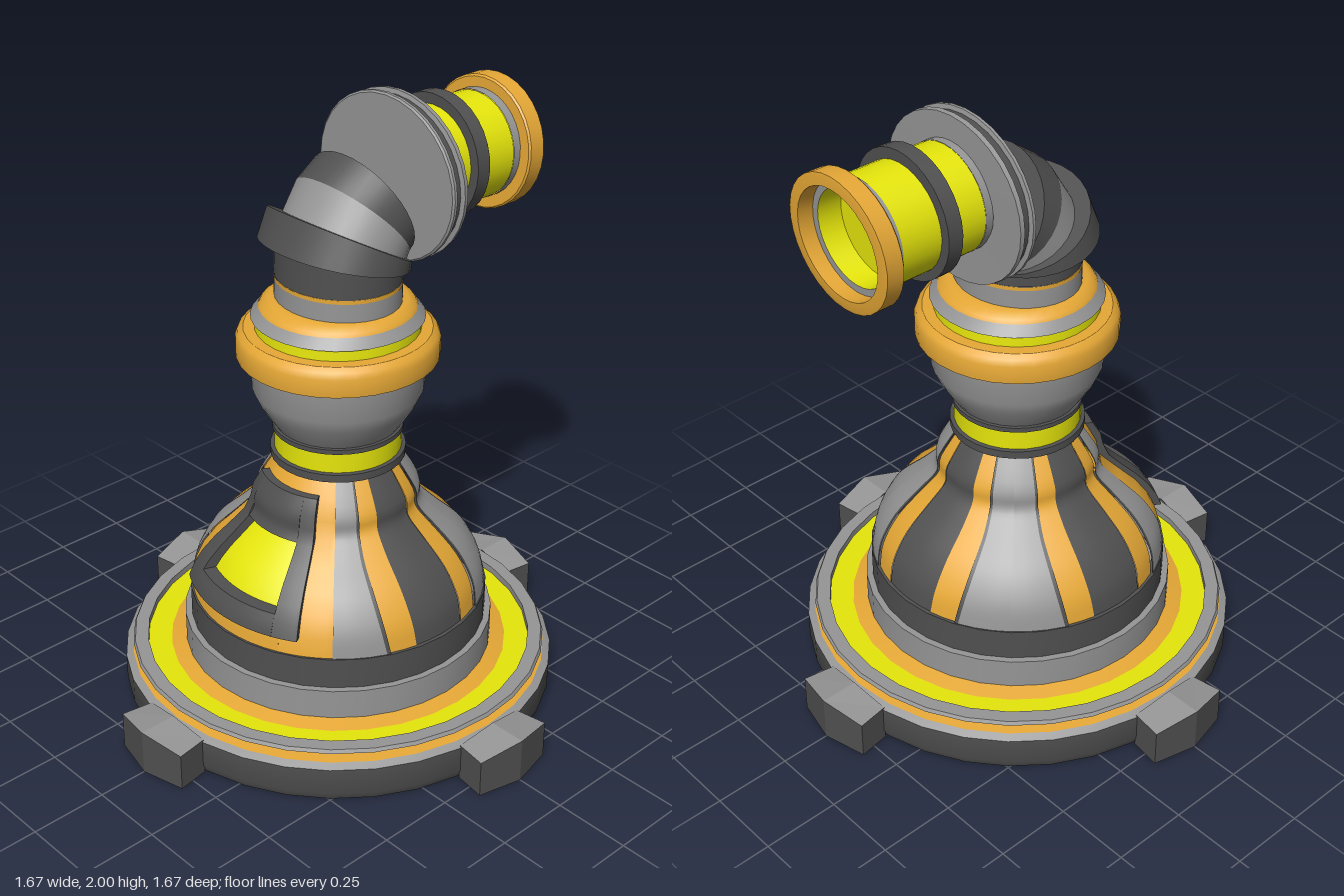
import * as THREE from 'three';
import { toCreasedNormals } from 'three/addons/utils/BufferGeometryUtils.js';

const mat = (name, color) => {
  const m = new THREE.MeshStandardMaterial({ color, side: THREE.DoubleSide });
  m.name = name;
  return m;
};

export function createModel() {
  const root = new THREE.Group();
  root.name = 'pipeTower';
  const gray = mat('gray', 0x969696), dark = mat('darkGray', 0x505050);
  const orange = mat('orange', 0xe6a836), yellow = mat('yellow', 0xe6e60c);
  const rad = THREE.MathUtils.degToRad;

  // Surface through rows of points
  function grid(name, material, rows, parent = root) {
    const n = rows[0].length, index = [];
    for (let i = 0; i < rows.length - 1; i++) {
      for (let j = 0; j < n - 1; j++) {
        const a = i * n + j, c = a + n;
        index.push(a, c, a + 1, a + 1, c, c + 1);
      }
    }
    let g = new THREE.BufferGeometry().setFromPoints(rows.flat());
    g.setIndex(index);
    g = toCreasedNormals(g.toNonIndexed(), 0.6);
    const mesh = new THREE.Mesh(g, material);
    mesh.name = name;
    parent.add(mesh);
    return mesh;
  }

  // Ellipse whose diameter runs from (x1,y1) to (x2,y2), w = half width in z
  function ring(x1, y1, x2, y2, w, zc = 0) {
    const row = [], seg = 32;
    for (let j = 0; j <= seg; j++) {
      const t = (j / seg) * Math.PI * 2, c = Math.cos(t);
      row.push(new THREE.Vector3((x1 + x2) / 2 + c * (x2 - x1) / 2,
        (y1 + y2) / 2 + c * (y2 - y1) / 2, zc + Math.sin(t) * w));
    }
    return row;
  }

  // Upright band of revolution from [radius, y] points, squash narrows x
  const band = (name, material, pts, squash = 1) =>
    grid(name, material, pts.map(([r, y]) => ring(-r * squash, y, r * squash, y, r)));

  // Base disc with its rim, groove and tray
  band('baseUnderside', gray, [[0, 0], [0.7, 0]]);
  band('baseDisc', dark, [[0.7, 0], [0.714, 0.03], [0.714, 0.12]]);
  band('baseEdge', gray, [[0.714, 0.12], [0.69, 0.132]]);
  band('baseGroove', orange, [[0.69, 0.132], [0.65, 0.137]]);
  band('rimUnderside', dark, [[0.65, 0.137], [0.688, 0.163]]);
  band('rim', gray, [[0.688, 0.163], [0.682, 0.175], [0.638, 0.175], [0.638, 0.152]]);
  band('trayFloor', yellow, [[0.638, 0.152], [0.56, 0.152]]);
  band('trayInnerRing', orange, [[0.56, 0.152], [0.508, 0.165]]);

  // Four gabled lugs around the base
  for (let i = 0; i < 4; i++) {
    const box = new THREE.BoxGeometry(0.3, 0.15, 0.14, 2, 1, 1), p = box.attributes.position;
    for (let k = 0; k < p.count; k++) {
      const mid = Math.abs(p.getX(k)) < 0.01, outer = p.getZ(k) > 0;
      p.setXYZ(k, p.getX(k) * (outer ? 0.98 : 0.87),
        p.getY(k) < 0 ? 0 : mid ? 0.152 : 0.125,
        outer ? (mid ? 0.835 : 0.8) : (mid ? 0.71 : 0.695));
    }
    const g = box.toNonIndexed();
    g.computeVertexNormals();
    const lug = new THREE.Mesh(g, [dark, dark, gray, gray, dark, dark]);
    lug.name = 'baseLug';
    lug.rotation.y = i * Math.PI / 2;
    root.add(lug);
  }

  // Plinth
  band('plinthLower', gray, [[0.51, 0.15], [0.51, 0.265], [0.488, 0.265]]);
  band('plinthUpper', dark, [[0.489, 0.265], [0.489, 0.37], [0.46, 0.37]]);

  // Bell body, divided into coloured sectors
  const bell = new THREE.SplineCurve([[0.484, 0.37], [0.466, 0.45], [0.41, 0.54], [0.317, 0.63],
    [0.268, 0.685], [0.259, 0.745], [0.19, 0.855]].map(p => new THREE.Vector2(...p))).getPoints(24);
  const bellRadius = y => {
    const i = Math.max(1, bell.findIndex(p => p.y >= y)), a = bell[i - 1], b = bell[i];
    return a.x + (b.x - a.x) * (y - a.y) / (b.y - a.y);
  };
  const at = (r, y, deg) => new THREE.Vector3(r * Math.cos(rad(deg)), y, r * Math.sin(rad(deg)));
  // Stripes open to a wider angle where the bell narrows
  const spread = (d, y) => {
    const k = 1 + 0.24 * Math.min(1, (y - 0.37) / 0.25), m = Math.abs(d);
    return Math.sign(d) * (m <= 25 ? m * k : 25 * k + (m - 25) * (45 - 25 * k) / 20);
  };
  // Sector between offsets d0 and d1 from the stripe centre c
  function sector(name, material, c, d0, d1, inset = 0) {
    const n = Math.max(1, Math.round((d1 - d0) / 6));
    grid(name, material, bell.map(p => Array.from({ length: n + 1 },
      (_, j) => at(p.x - inset, p.y, c + spread(d0 + (d1 - d0) * j / n, p.y)))));
  }
  for (const c of [-90, 0, 90]) {
    sector('bellDarkStripe', dark, c, -12, 12, 0.008);
    for (const s of [-1, 1]) {
      const side = (name, material, a, b, inset) =>
        sector(name, material, c, Math.min(s * a, s * b), Math.max(s * a, s * b), inset);
      side('bellOrangeStripe', orange, 12, 23, 0.006);
      side('bellSeam', dark, 23, 24.5, 0);
      side('bellPanel', gray, 24.5, 45, 0);
    }
  }

  // Raised plate following the bell, with its edges closed down into it
  function plate(name, material, a0, a1, y0, y1, lift) {
    const ys = [y0], as = [a0], n = 8, last = n + 2;
    for (let i = 0; i <= n; i++) {
      ys.push(y0 + (y1 - y0) * i / n);
      as.push(a0 + (a1 - a0) * i / n);
    }
    ys.push(y1);
    as.push(a1);
    grid(name, material, ys.map((y, i) => as.map((a, j) => {
      const edge = i === 0 || j === 0 || i === last || j === last;
      return at(bellRadius(y) + (edge ? -0.035 : lift), y, a);
    })));
  }
  // Hatch: recessed window, orange surround and raised frame
  plate('hatchWindow', yellow, 155, 205, 0.45, 0.75, -0.02);
  for (const [a0, a1, y0, y1] of [[135, 156, 0.37, 0.85], [204, 225, 0.37, 0.85],
    [156, 204, 0.37, 0.44], [156, 204, 0.79, 0.85]]) {
    plate('hatchSurround', orange, a0, a1, y0, y1, -0.003);
  }
  for (const [a0, a1, y0, y1] of [[148, 158, 0.43, 0.8], [202, 212, 0.43, 0.8],
    [158, 202, 0.43, 0.495], [158, 202, 0.665, 0.8]]) {
    plate('hatchFrame', dark, a0, a1, y0, y1, 0.022);
  }

  // Collar and upper cup
  band('lowerCollar', dark, [[0.19, 0.845], [0.217, 0.847], [0.217, 0.873], [0.2, 0.875]]);
  band('collarBand', yellow, [[0.204, 0.873], [0.204, 0.94]]);
  band('upperCollar', dark, [[0.2, 0.94], [0.21, 0.942], [0.21, 0.958], [0.2, 0.96]]);
  band('cup', gray, [[0.2, 0.958], [0.222, 0.99], [0.252, 1.04], [0.272, 1.085], [0.274, 1.2]]);
  band('cupRing', orange, [[0.27, 1.197], [0.319, 1.197], [0.32, 1.21], [0.32, 1.255],
    [0.312, 1.275], [0.295, 1.288], [0.25, 1.29]]);
  band('capBand', yellow, [[0.26, 1.288], [0.258, 1.325]]);
  band('capFlange', gray, [[0.25, 1.32], [0.272, 1.328], [0.264, 1.338], [0.247, 1.36]]);
  band('capRing', orange, [[0.247, 1.358], [0.24, 1.37], [0.215, 1.387], [0.16, 1.387]]);
  band('neck', gray, [[0.21, 1.375], [0.21, 1.447]], 0.89);
  band('neckStripe', orange, [[0.211, 1.447], [0.211, 1.46]], 0.89);

  // Elbow of wedges hinged on one point
  const px = 0.187, py = 1.49;
  const tilt = (x, y, w) => ring(x, y, px, py, w);
  const lid = (x, y) => ring((x + px) / 2, (y + py) / 2, (x + px) / 2, (y + py) / 2, 0);
  grid('elbowFoot', dark, [ring(-0.187, 1.46, 0.187, 1.46, 0.21), tilt(-0.187, 1.6, 0.21)]);
  const wedge = (name, material, a, b, w0, w1) =>
    grid(name, material, [lid(...a), tilt(...a, w0), tilt(...b, w1), lid(...b)]);
  wedge('elbowLowerWedge', dark, [-0.225, 1.585], [-0.18, 1.695], 0.262, 0.255);
  wedge('elbowMiddleWedge', gray, [-0.14, 1.665], [-0.07, 1.775], 0.215, 0.212);
  wedge('elbowUpperWedge', dark, [-0.07, 1.775], [0.02, 1.84], 0.212, 0.208);

  // Spout: rings given as [xTop, xBottom, radius, centre y]
  const spout = new THREE.Group();
  spout.name = 'spout';
  root.add(spout);
  const pipe = (name, material, list, wide = 1) => grid(name, material,
    list.map(([xt, xb, r, cy]) => ring(xt, cy + r, xb, cy - r, r * wide, 0.017)), spout);
  pipe('flangeBack', gray, [[0.177, 0.177, 0, 1.73], [0.177, 0.177, 0.26, 1.73],
    [0.182, 0.182, 0.266, 1.73], [0.192, 0.192, 0.266, 1.73], [0.195, 0.195, 0.252, 1.73]], 1.1);
  pipe('flangeGroove', dark, [[0.195, 0.195, 0.252, 1.73], [0.222, 0.22, 0.252, 1.73]], 1.1);
  pipe('flangeFront', gray, [[0.222, 0.22, 0.252, 1.73], [0.226, 0.223, 0.266, 1.73],
    [0.242, 0.235, 0.264, 1.73], [0.242, 0.235, 0.16, 1.74]], 1.1);
  pipe('barrelInnerRing', gray, [[0.23, 0.225, 0.173, 1.742], [0.268, 0.258, 0.173, 1.742]]);
  pipe('barrel', yellow, [[0.268, 0.258, 0.172, 1.742], [0.572, 0.562, 0.172, 1.74]]);
  pipe('barrelHoop', dark, [[0.38, 0.37, 0.165, 1.745], [0.38, 0.37, 0.203, 1.745],
    [0.432, 0.422, 0.203, 1.745], [0.432, 0.422, 0.165, 1.745]]);
  pipe('barrelOuterRing', gray, [[0.572, 0.56, 0.174, 1.74], [0.608, 0.586, 0.174, 1.74]]);
  pipe('muzzleRing', orange, [[0.605, 0.585, 0.165, 1.738], [0.607, 0.582, 0.209, 1.738],
    [0.613, 0.587, 0.215, 1.738], [0.67, 0.645, 0.215, 1.738], [0.671, 0.648, 0.207, 1.738],
    [0.671, 0.65, 0.176, 1.738], [0.615, 0.6, 0.176, 1.738]]);
  pipe('muzzleStep', gray, [[0.615, 0.6, 0.176, 1.738], [0.615, 0.6, 0.153, 1.738]]);
  pipe('muzzleBore', yellow, [[0.615, 0.6, 0.153, 1.738], [0.53, 0.52, 0.153, 1.74],
    [0.525, 0.525, 0, 1.74]]);

  return root;
}
